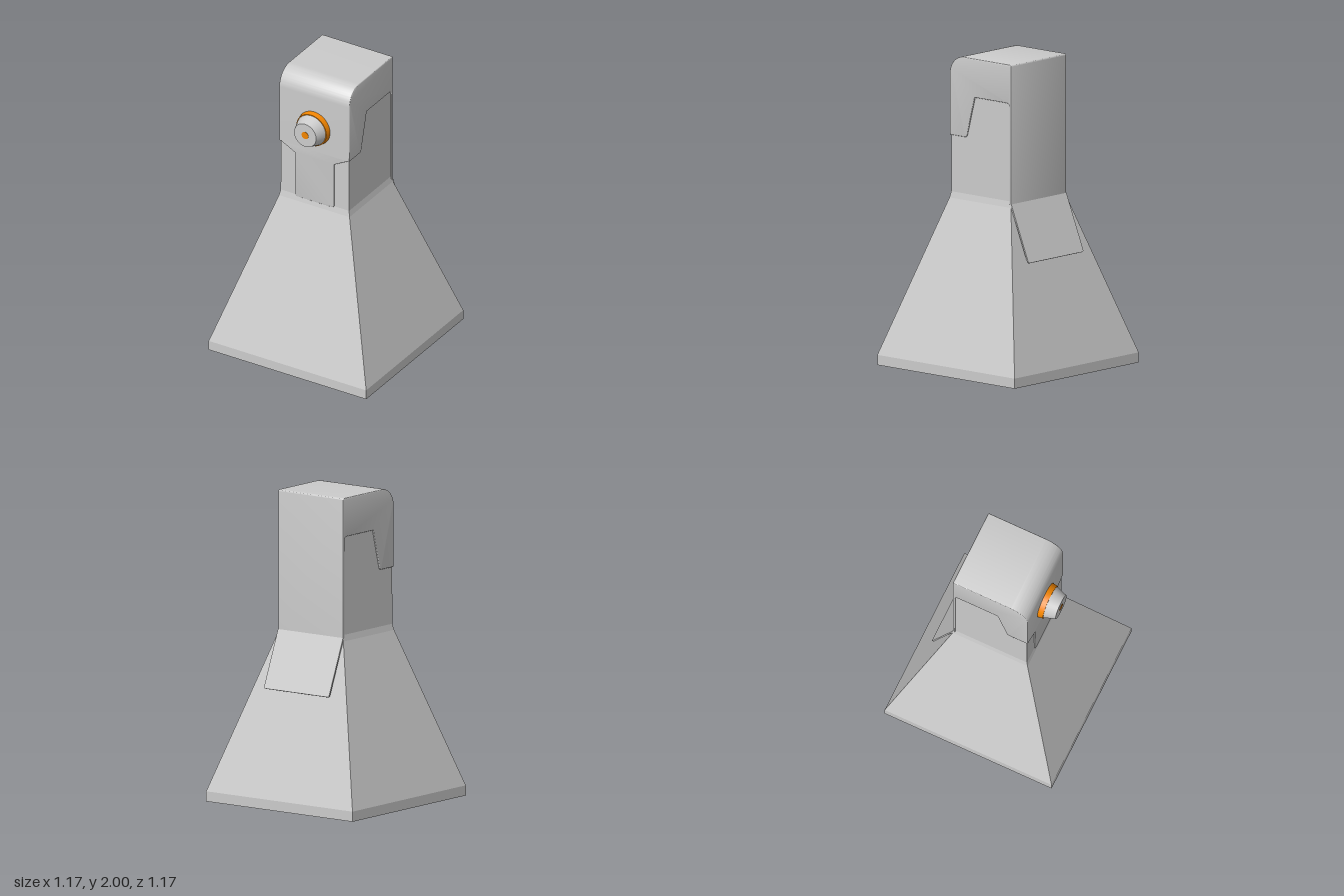
import * as THREE from 'three';
import { toCreasedNormals } from 'three/addons/utils/BufferGeometryUtils.js';

const grey = new THREE.MeshStandardMaterial({ color: 0xcccccc });
const orange = new THREE.MeshStandardMaterial({ color: 0xf28500 });

function add(parent, name, geometry, material = grey) {
  const mesh = new THREE.Mesh(geometry, material);
  mesh.name = name;
  parent.add(mesh);
  return mesh;
}

// Extrusion centred on its depth, with a small rounded edge kept inside the outline
function slab(shape, depth, bevel) {
  const g = new THREE.ExtrudeGeometry(shape, {
    depth: depth - 2 * bevel, curveSegments: 12, bevelEnabled: bevel > 0,
    bevelSize: bevel, bevelOffset: -bevel, bevelThickness: bevel, bevelSegments: 3,
  });
  g.translate(0, 0, -depth / 2 + bevel);
  return toCreasedNormals(g, 0.6);
}

export function createModel() {
  const model = new THREE.Group();
  model.name = 'tower';

  // Square body: flared base and straight neck, as [half width, height]
  const profile = [[0, 0.005], [0.585, 0.005], [0.585, 0.07], [0.262, 1.08],
    [0.254, 1.12], [0.252, 1.9], [0, 1.9]]
    .map(([h, y]) => new THREE.Vector2(h * Math.SQRT2, y));
  const body = new THREE.LatheGeometry(profile, 4, Math.PI / 4);
  add(model, 'body', toCreasedNormals(body, 0.1));
  add(model, 'basePlate', new THREE.BoxGeometry(1.06, 0.02, 1.06)).position.y = 0.01;

  // Hood: side profile (z, y) with rounded front top, side notch and back panel
  const hood = new THREE.Shape();
  hood.moveTo(0.262, 1.485);
  hood.lineTo(0.262, 1.88);
  hood.absarc(0.142, 1.88, 0.12, 0, Math.PI / 2, false);
  hood.lineTo(-0.25, 2);
  hood.quadraticCurveTo(-0.263, 2, -0.263, 1.985);
  hood.lineTo(-0.263, 1.1);
  hood.lineTo(-0.247, 1.1);
  hood.lineTo(-0.247, 1.72);
  hood.quadraticCurveTo(-0.245, 1.75, -0.22, 1.75);
  hood.lineTo(0.05, 1.75);
  hood.lineTo(0.115, 1.5);
  hood.quadraticCurveTo(0.12, 1.485, 0.135, 1.485);
  hood.closePath();
  const hoodGeometry = slab(hood, 0.522, 0.006);
  hoodGeometry.rotateY(-Math.PI / 2);
  add(model, 'hood', hoodGeometry);

  // Front apron stepping down from the hood
  const apron = new THREE.Shape();
  [[-0.26, 1.51], [-0.26, 1.49], [-0.146, 1.43], [-0.146, 1.125], [-0.135, 1.112],
    [0.135, 1.112], [0.146, 1.125], [0.146, 1.43], [0.26, 1.49], [0.26, 1.51]]
    .forEach(([x, y], i) => (i ? apron.lineTo(x, y) : apron.moveTo(x, y)));
  add(model, 'frontApron', slab(apron, 0.03, 0.003)).position.z = 0.247;

  // Thin back flap hinged at the bottom of the neck
  const flap = new THREE.Shape();
  flap.moveTo(-0.26, 0);
  flap.lineTo(-0.26, -0.375);
  flap.quadraticCurveTo(-0.26, -0.39, -0.245, -0.39);
  flap.lineTo(0.245, -0.39);
  flap.quadraticCurveTo(0.26, -0.39, 0.26, -0.375);
  flap.lineTo(0.26, 0);
  flap.closePath();
  const flapMesh = add(model, 'backFlap', slab(flap, 0.01, 0));
  flapMesh.position.set(0, 1.102, -0.258);
  flapMesh.rotation.x = Math.atan2(0.148, 0.36);

  // Nozzle: parts turned about the z axis
  const nozzle = new THREE.Group();
  nozzle.name = 'nozzle';
  nozzle.position.set(0, 1.655, 0.26);
  model.add(nozzle);
  const turned = (name, front, back, z0, z1, material) => {
    const g = new THREE.CylinderGeometry(front, back, z1 - z0, 40);
    g.rotateX(Math.PI / 2);
    g.translate(0, 0, (z0 + z1) / 2);
    add(nozzle, name, g, material);
  };
  turned('nozzleCollar', 0.112, 0.12, -0.01, 0.038, orange);
  turned('nozzleCone', 0.082, 0.107, 0.038, 0.112, grey);
  turned('nozzleTip', 0.025, 0.025, 0.1, 0.114, orange);

  return model;
}
